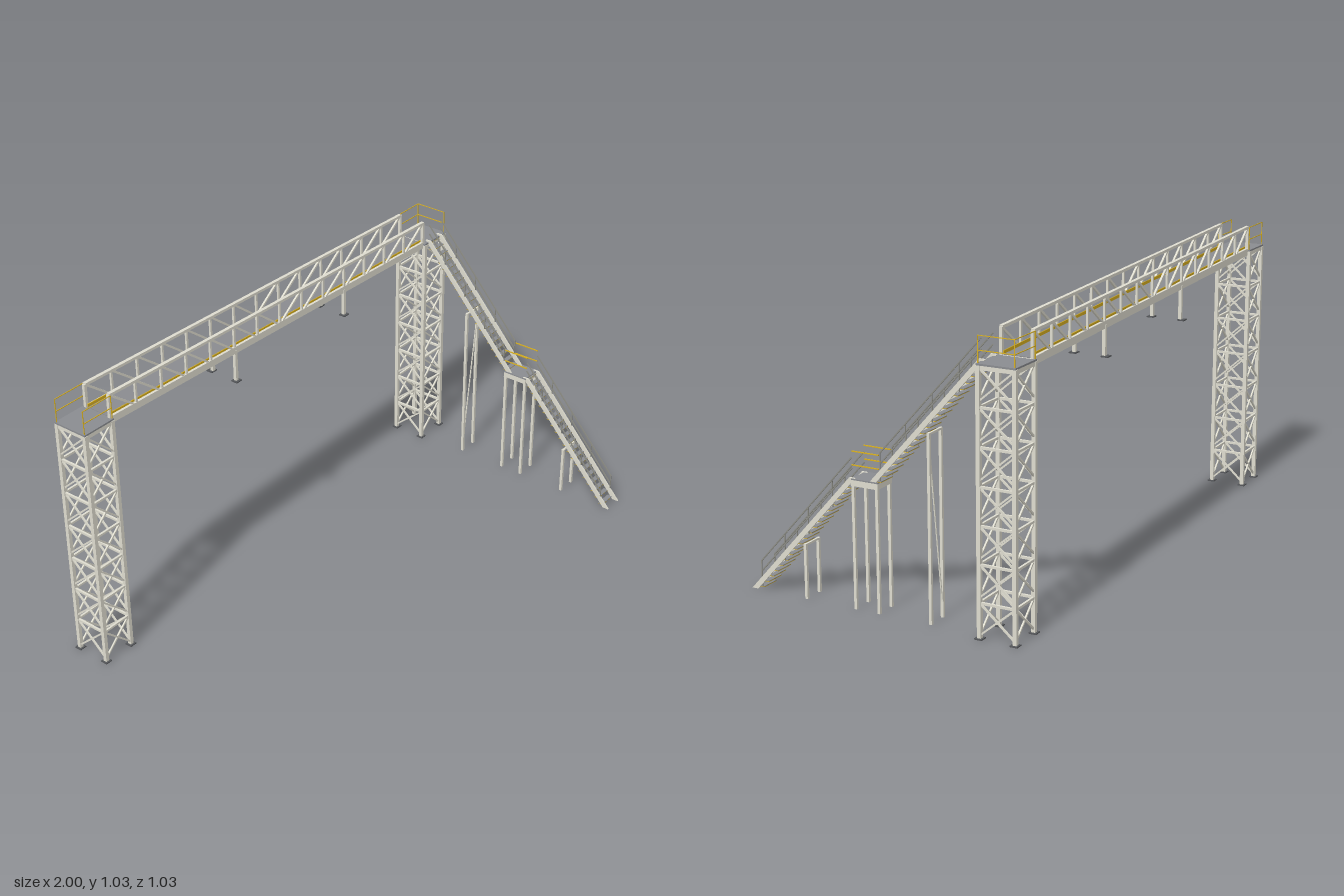
import * as THREE from 'three';

const steel = new THREE.MeshStandardMaterial({ color: 0xdedccf });
const plate = new THREE.MeshStandardMaterial({ color: 0x8a8c90 });
const dark = new THREE.MeshStandardMaterial({ color: 0x55575a });
const yellow = new THREE.MeshStandardMaterial({ color: 0xd8b020 });
const railGrey = new THREE.MeshStandardMaterial({ color: 0x8c8c84 });

const V = (x, y, z) => new THREE.Vector3(x, y, z);

function group(parent, name) {
  const g = new THREE.Group();
  g.name = name;
  parent.add(g);
  return g;
}

function box(parent, name, mat, size, pos) {
  const m = new THREE.Mesh(new THREE.BoxGeometry(...size), mat);
  m.name = name;
  m.position.set(...pos);
  parent.add(m);
}

// Straight bar of section w x h running from a to b
function bar(parent, name, mat, a, b, w, h = w) {
  const m = new THREE.Mesh(new THREE.BoxGeometry(w, h, a.distanceTo(b)), mat);
  m.name = name;
  m.position.copy(a).lerp(b, 0.5);
  m.lookAt(b);
  parent.add(m);
}

const ZF = -0.376, ZB = -0.502; // tower leg rows
const TF = -0.385, TB = -0.494; // truss planes
const PANELS = 14, XL = -0.861, XR = 0.858;

// Four-legged lattice tower with seven braced panels per face
function tower(parent, name, x0, x1, height) {
  const g = group(parent, name);
  const corners = [[x0, ZF], [x1, ZF], [x1, ZB], [x0, ZB]];
  for (const [x, z] of corners) {
    box(g, 'leg', steel, [0.014, height, 0.014], [x, height / 2, z]);
    box(g, 'footPlate', dark, [0.027, 0.004, 0.027], [x, 0.002, z]);
  }
  const step = height / 7;
  corners.forEach(([ax, az], i) => {
    const [bx, bz] = corners[(i + 1) % 4];
    for (let k = 0; k < 7; k++) {
      const lo = k * step + 0.012, hi = (k + 1) * step - 0.006;
      bar(g, 'strut', steel, V(ax, hi, az), V(bx, hi, bz), 0.008);
      bar(g, 'brace', steel, V(ax, lo, az), V(bx, hi, bz), 0.006);
      bar(g, 'brace', steel, V(ax, hi, az), V(bx, lo, bz), 0.006);
    }
  });
  // Platform on top
  const cx = (x0 + x1) / 2, cz = (ZF + ZB) / 2;
  box(g, 'platformDeck', plate, [x1 - x0 + 0.013, 0.006, 0.136], [cx, height + 0.003, cz]);
  for (const z of [ZF, ZB]) box(g, 'platformBeam', steel, [x1 - x0, 0.014, 0.01], [cx, height - 0.007, z]);
  for (const x of [x0, x1]) box(g, 'platformBeam', steel, [0.01, 0.014, 0.126], [x, height - 0.007, cz]);
}

// Two-rail guard along a list of points, with a post at each
function guard(parent, name, pts, height = 0.092) {
  const g = group(parent, name);
  const up = (p, h) => V(p.x, p.y + h, p.z);
  pts.forEach((p, i) => {
    bar(g, 'post', yellow, p, up(p, height), 0.0025);
    if (!i) return;
    for (const h of [height, height / 2]) bar(g, 'rail', yellow, up(pts[i - 1], h), up(p, h), 0.0025);
  });
}

function bridge(parent) {
  const g = group(parent, 'bridge');
  const xAt = i => XL + (XR - XL) * i / PANELS;
  const low = x => 0.928 - 0.0285 * (x - XL); // bottom chord line
  const top = x => low(x) + 0.094;
  bar(g, 'deck', plate, V(XL, low(XL) + 0.007, -0.4395), V(XR, low(XR) + 0.007, -0.4395), 0.105, 0.005);
  for (const z of [TF, TB]) {
    const s = group(g, z === TF ? 'frontTruss' : 'backTruss');
    bar(s, 'bottomChord', steel, V(XL, low(XL), z), V(XR, low(XR), z), 0.01, 0.026);
    bar(s, 'topChord', steel, V(XL, top(XL), z), V(XR, top(XR), z), 0.013, 0.01);
    const zi = z + (z === TF ? -0.007 : 0.007);
    bar(s, 'toeBoard', yellow, V(XL, low(XL) + 0.014, zi), V(XR, low(XR) + 0.014, zi), 0.003, 0.012);
    for (let i = 0; i <= PANELS; i++) {
      const x = xAt(i), w = i % PANELS ? 0.008 : 0.011;
      bar(s, 'post', steel, V(x, low(x), z), V(x, top(x), z), w);
      if (i === PANELS) continue;
      // Diagonals fall towards the middle
      const n = xAt(i + 1), falling = i < PANELS / 2;
      const [a, b] = falling ? [x, n] : [n, x];
      bar(s, 'diagonal', steel, V(a, top(a), z), V(b, low(b), z), 0.0075);
    }
    // Hanging stub legs
    for (const x of [-0.245, 0.365]) {
      bar(s, 'stubLeg', steel, V(x, 0.787, z), V(x, low(x), z), 0.012);
      box(s, 'stubPlate', dark, [0.028, 0.004, 0.026], [x, 0.787, z + (z === TF ? 0.002 : -0.006)]);
    }
  }
  for (let i = 0; i <= PANELS; i += 2) {
    const x = xAt(i), y = low(x) - 0.003;
    bar(g, 'crossBeam', steel, V(x, y, TF), V(x, y, TB), 0.014, 0.02);
  }
}

const SX = [0.883, 0.955]; // stair sides

// Flight of stairs from (z0, y0) up to (z1, y1)
function flight(parent, name, z0, y0, z1, y1, railZ, railEnd) {
  const g = group(parent, name);
  const slope = (y1 - y0) / (z1 - z0), yAt = z => y0 + slope * (z - z0);
  // Stringer profile, cut level at both ends (shape x is -z)
  const e = 0.0115;
  const profile = new THREE.Shape([[z0 + e, y0], [z0 - e, y0], [z1 - e, y1], [z1 + e, y1]]
    .map(([z, y]) => new THREE.Vector2(-z, y)));
  const geo = new THREE.ExtrudeGeometry(profile, { depth: 0.007, bevelEnabled: false });
  geo.rotateY(Math.PI / 2);
  for (const x of SX) {
    const stringer = new THREE.Mesh(geo, steel);
    stringer.name = 'stringer';
    stringer.position.x = x - 0.0035;
    g.add(stringer);
    for (const z of railZ) bar(g, 'railPost', railGrey, V(x, yAt(z) - 0.022, z), V(x, yAt(z) + 0.07, z), 0.003);
    for (const h of [0.07, 0.034])
      bar(g, 'handrail', railGrey, V(x, yAt(railZ[0]) + h, railZ[0]), V(x, yAt(railEnd) + h, railEnd), 0.004);
  }
  // Treads: plate with a yellow edge below it
  const n = 20;
  for (let i = 0; i < n; i++) {
    const t = (i + 0.6) / n;
    const y = y0 + (y1 - y0) * t - 0.003, z = z0 + (z1 - z0) * t - 0.0135;
    box(g, 'tread', plate, [0.07, 0.002, 0.019], [0.919, y, z]);
    box(g, 'treadEdge', yellow, [0.07, 0.002, 0.018], [0.919, y - 0.002, z]);
  }
}

function stairs(parent) {
  const g = group(parent, 'stairs');
  flight(g, 'lowerFlight', 0.503, 0, 0.105, 0.445, [0.475, 0.378, 0.281, 0.184], 0.107);
  flight(g, 'upperFlight', 0.033, 0.436, -0.374, 0.892, [0, -0.097, -0.195, -0.292], -0.37);

  // Landing with its side rails
  box(g, 'landingDeck', plate, [0.086, 0.004, 0.1], [0.919, 0.442, 0.057]);
  for (const x of [0.88, 0.958]) box(g, 'landingBeam', steel, [0.008, 0.02, 0.1], [x, 0.43, 0.057]);
  for (const z of [0.103, 0.012]) box(g, 'landingBeam', steel, [0.078, 0.02, 0.008], [0.919, 0.43, z]);
  for (const x of SX) {
    for (const h of [0.488, 0.534]) bar(g, 'landingRail', yellow, V(x, h, 0.107), V(x, h, 0.005), 0.0035);
    // Supports: lower flight, landing, upper flight
    for (const [z, h] of [[0.295, 0.191], [0.102, 0.425], [0.013, 0.425], [-0.181, 0.634]])
      bar(g, 'supportPost', steel, V(x, 0, z), V(x, h, z), 0.01);
  }
  for (const [z, h] of [[0.295, 0.187], [-0.181, 0.63]])
    bar(g, 'supportCap', steel, V(SX[0], h, z), V(SX[1], h, z), 0.007);
  bar(g, 'supportBrace', steel, V(SX[0], 0.03, -0.181), V(SX[1], 0.61, -0.181), 0.004);
}

export function createModel() {
  const root = new THREE.Group();
  root.name = 'footbridge';
  const HL = 0.93, HR = 0.88;
  tower(root, 'rightTower', -0.986, -0.864, HL);
  tower(root, 'leftTower', 0.862, 0.985, HR);
  bridge(root);
  stairs(root);
  // Platform guards: sides only on the right, end and back on the left
  for (const z of [ZF, ZB])
    guard(root, 'rightPlatformGuard', [V(XL, HL, z), V(-0.988, HL, z)]);
  guard(root, 'leftPlatformGuard', [V(0.987, HR, ZF), V(0.987, HR, ZB), V(XR, HR, ZB)]);
  return root;
}
